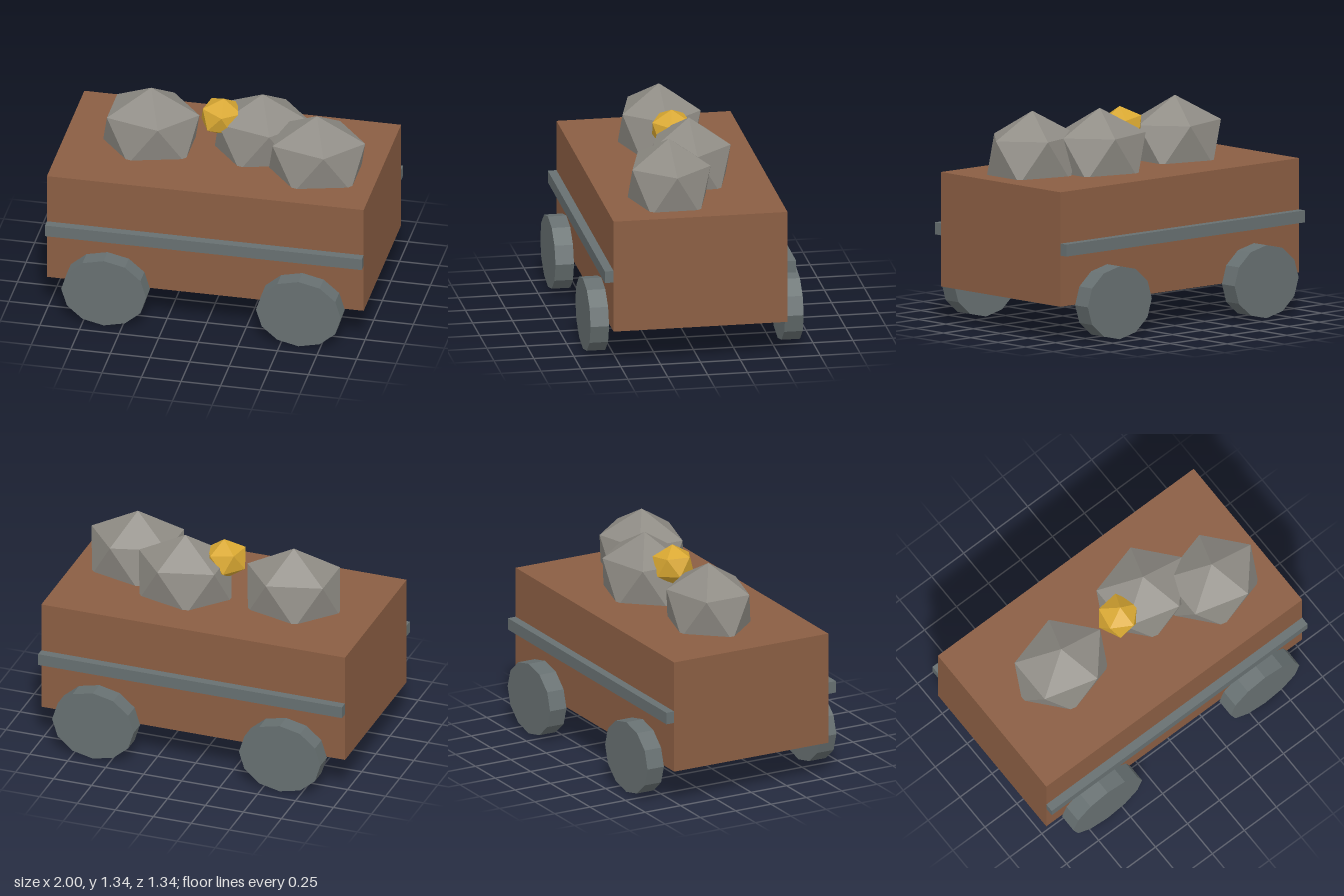
import * as THREE from 'three';

const paint = (name, color) => {
  const m = new THREE.MeshStandardMaterial({ color, flatShading: true });
  m.name = name;
  return m;
};

// Icosahedron standing on a vertex, with one upper-ring vertex towards +x
function makeStone() {
  const geo = new THREE.IcosahedronGeometry(1, 0);
  geo.rotateZ(-Math.atan(2 / (1 + Math.sqrt(5))));
  return geo;
}

export function createModel() {
  const wood = paint('brown wood', 0x8b5e43);
  const metal = paint('grey metal', 0x677071);
  const rock = paint('grey rock', 0x8f8c85);
  const gold = paint('gold', 0xd9a832);

  const model = new THREE.Group();
  model.name = 'oreCart';
  const add = (name, geo, mat, x, y, z) => {
    const mesh = new THREE.Mesh(geo, mat);
    mesh.name = name;
    mesh.position.set(x, y, z);
    model.add(mesh);
    return mesh;
  };

  // Solid cart body
  add('cartBody', new THREE.BoxGeometry(2, 0.715, 1.09), wood, 0, 0.5875, 0);

  // Side rails and slightly flattened wheels
  const railGeo = new THREE.BoxGeometry(2, 0.075, 0.055);
  const wheelGeo = new THREE.CylinderGeometry(1, 1, 0.116, 12);
  wheelGeo.rotateX(Math.PI / 2);
  wheelGeo.scale(0.268, 0.228, 1);
  for (const [side, s] of [['front', 1], ['back', -1]]) {
    add(side + 'Rail', railGeo, metal, 0, 0.587, s * 0.5725);
    for (const [end, e] of [['Left', 1], ['Right', -1]]) {
      add(side + end + 'Wheel', wheelGeo, metal, e * 0.615, 0.228, s * 0.61);
    }
  }

  // Rocks sunk into the top of the load
  const stoneGeo = makeStone();
  [[-0.46, 0], [0.23, -0.065], [0.615, 0.13]].forEach(([x, z], i) => {
    add('rock' + (i + 1), stoneGeo, rock, x, 1.046, z).scale.set(0.341, 0.289, 0.288);
  });

  // Tilted gold nugget between the rocks
  const nugget = add('goldNugget', stoneGeo, gold, -0.015, 1.187, 0);
  nugget.scale.set(0.143, 0.128, 0.14);
  nugget.rotation.set(0, -0.17, -0.12);

  return model;
}
